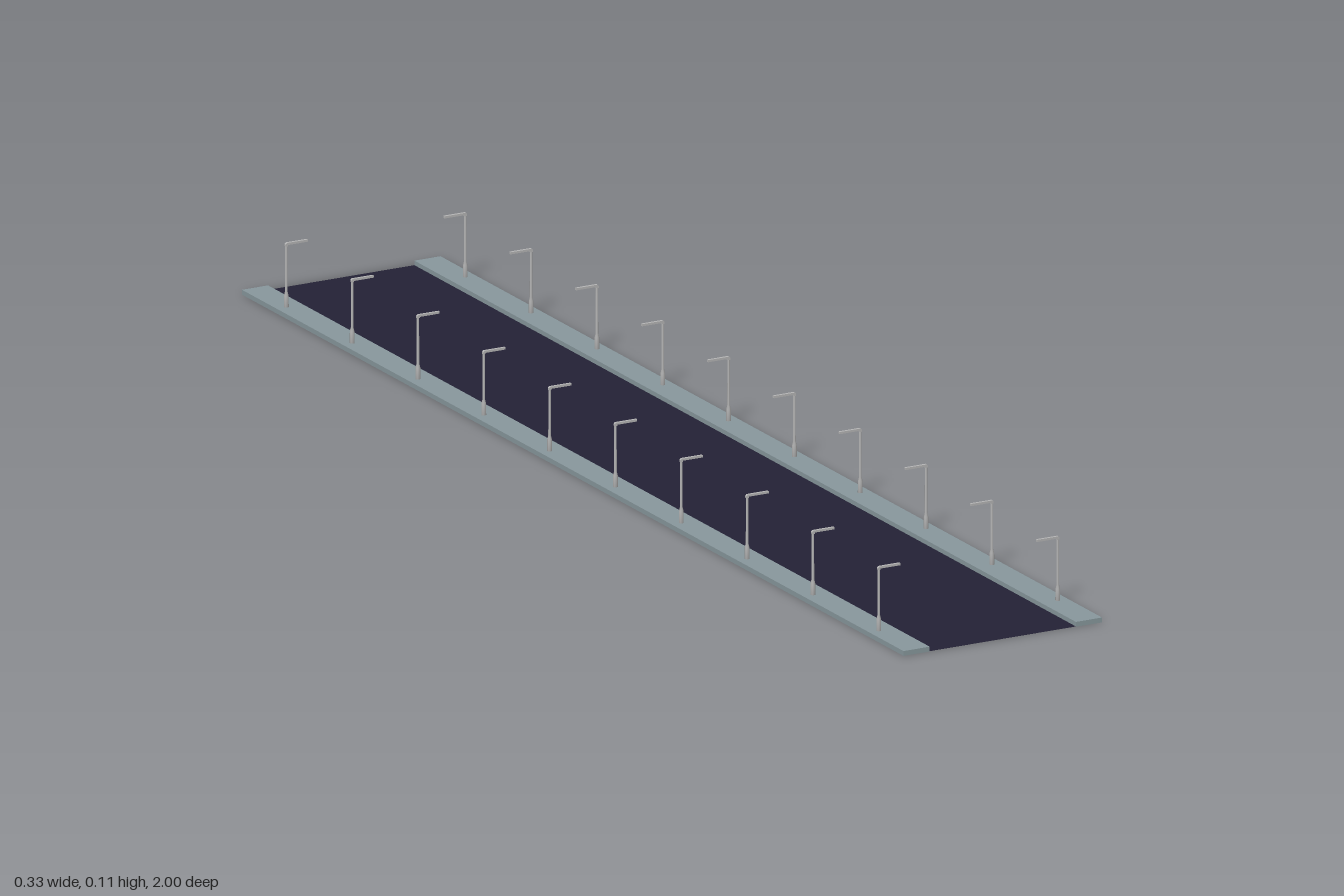
import * as THREE from 'three';

const asphalt = new THREE.MeshStandardMaterial({ name: 'asphalt', color: 0x232135, side: THREE.DoubleSide });
const paving = new THREE.MeshStandardMaterial({ name: 'paving', color: 0x87979c });
const steel = new THREE.MeshStandardMaterial({ name: 'steel', color: 0xb4b4b4 });

function addPart(parent, name, geometry, material, x, y, z) {
  const mesh = new THREE.Mesh(geometry, material);
  mesh.name = name;
  mesh.position.set(x, y, z);
  parent.add(mesh);
  return mesh;
}

// Pole profile: wide foot, short taper, slim shaft
const poleGeometry = new THREE.LatheGeometry(
  [[0, 0], [0.0038, 0], [0.0036, 0.018], [0.0021, 0.024], [0.0019, 0.096], [0, 0.0985]]
    .map(([r, y]) => new THREE.Vector2(r, y)), 8);

// Arm reaching along +x with a bevelled elbow
const armShape = new THREE.Shape([
  [-0.002, 0.094], [0.002, 0.094], [0.002, 0.0958], [0.0355, 0.0958],
  [0.0355, 0.0992], [0, 0.0992], [-0.002, 0.0972],
].map(([x, y]) => new THREE.Vector2(x, y)));
const armGeometry = new THREE.ExtrudeGeometry(armShape, { depth: 0.004, bevelEnabled: false });
armGeometry.translate(0, 0, -0.002);

function createLamp() {
  const lamp = new THREE.Group();
  lamp.name = 'streetLamp';
  addPart(lamp, 'pole', poleGeometry, steel, 0, 0, 0);
  addPart(lamp, 'arm', armGeometry, steel, 0, 0, 0);
  return lamp;
}

export function createModel() {
  const model = new THREE.Group();
  model.name = 'street';

  // Flat carriageway between the pavements
  const road = addPart(model, 'road', new THREE.PlaneGeometry(0.248, 2), asphalt, 0, 0.0005, 0);
  road.rotation.x = -Math.PI / 2;

  const pavementGeometry = new THREE.BoxGeometry(0.044, 0.0075, 2);
  for (const side of [-1, 1]) {
    addPart(model, side > 0 ? 'leftPavement' : 'rightPavement', pavementGeometry, paving, side * 0.145, 0.00375, 0);

    // Ten lamps per side, arms over the road
    for (let i = 0; i < 10; i++) {
      const lamp = createLamp();
      lamp.position.set(side * 0.1505, 0.0075, (i - 4.5) * 0.199);
      if (side > 0) lamp.rotation.y = Math.PI;
      model.add(lamp);
    }
  }
  return model;
}
